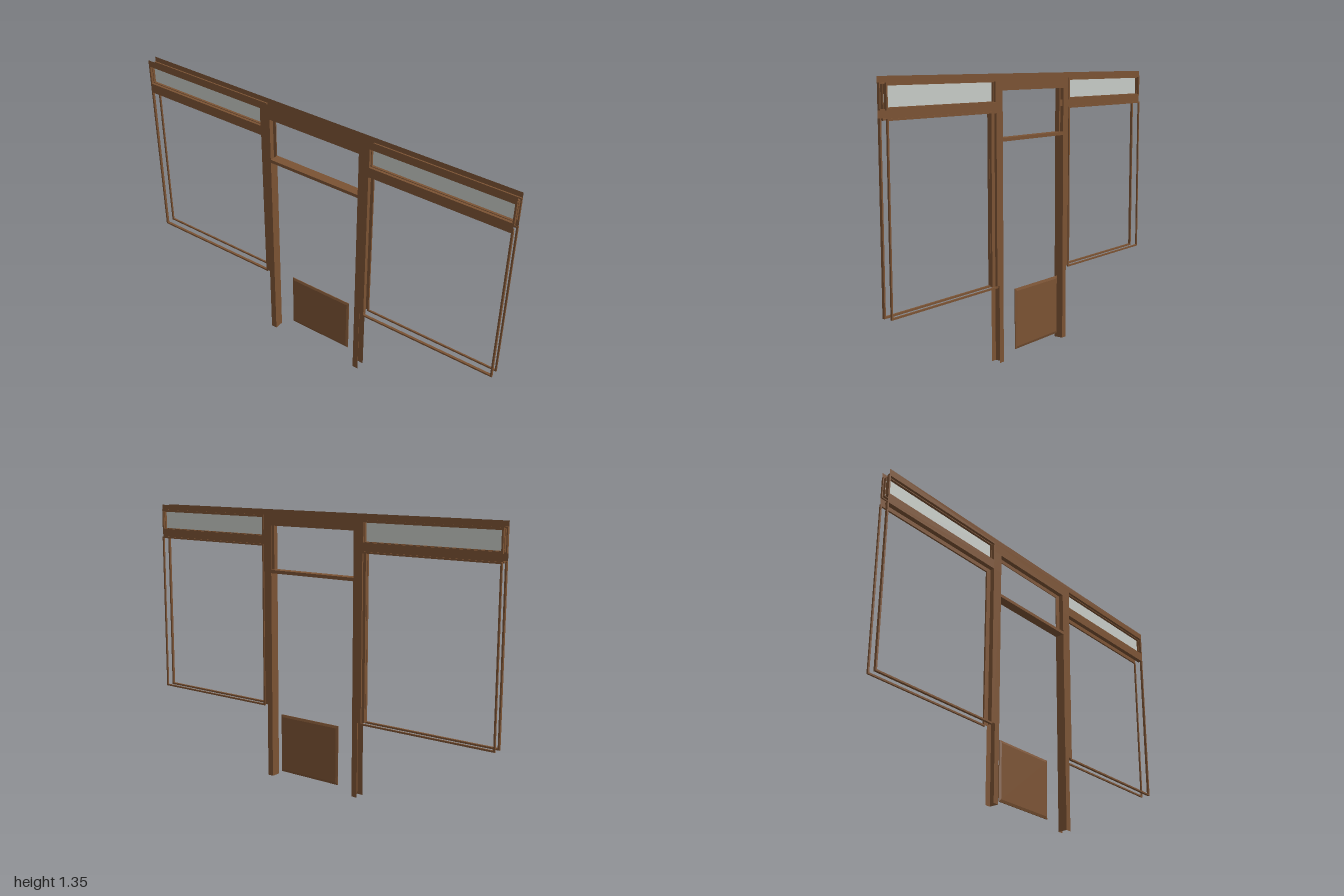
import * as THREE from 'three';

const FRONT = 0.033, BACK = -0.015;

export function createModel() {
  const model = new THREE.Group();
  const wood = new THREE.MeshStandardMaterial({ color: 0x7a5233, side: THREE.DoubleSide });
  wood.name = 'brown wood';
  const glass = new THREE.MeshStandardMaterial({ color: 0xc6cac5, side: THREE.DoubleSide });
  glass.name = 'pale glass';

  const add = (name, geometry, material, parent) => {
    const mesh = new THREE.Mesh(geometry, material);
    mesh.name = name;
    parent.add(mesh);
    return mesh;
  };
  // Thin sheet facing z
  const sheet = (name, x0, x1, y0, y1, z, parent, material = wood) =>
    add(name, new THREE.PlaneGeometry(x1 - x0, y1 - y0).translate((x0 + x1) / 2, (y0 + y1) / 2, z), material, parent);
  const box = (name, x0, x1, y0, y1, z0, z1, parent) =>
    add(name, new THREE.BoxGeometry(x1 - x0, y1 - y0, z1 - z0)
      .translate((x0 + x1) / 2, (y0 + y1) / 2, (z0 + z1) / 2), wood, parent);
  // Side wall of an opening, facing x
  const reveal = (name, x, y0, y1, z0, z1, parent) =>
    add(name, new THREE.PlaneGeometry(z1 - z0, y1 - y0).rotateY(Math.PI / 2)
      .translate(x, (y0 + y1) / 2, (z0 + z1) / 2), wood, parent);
  // Rectangular frame of bar width w
  const frame = (name, x0, x1, y0, y1, z0, z1, w, parent) => {
    const s = new THREE.Shape();
    s.moveTo(x0, y0).lineTo(x1, y0).lineTo(x1, y1).lineTo(x0, y1).closePath();
    const h = new THREE.Path();
    h.moveTo(x0 + w, y0 + w).lineTo(x0 + w, y1 - w).lineTo(x1 - w, y1 - w).lineTo(x1 - w, y0 + w).closePath();
    s.holes.push(h);
    return add(name, new THREE.ExtrudeGeometry(s, { depth: z1 - z0, bevelEnabled: false }).translate(0, 0, z0), wood, parent);
  };

  // Header boards on both faces, open on top
  for (const z of [FRONT, BACK]) {
    const board = new THREE.Shape();
    board.moveTo(-1, 1.32).lineTo(-0.3, 1.32).lineTo(-0.3, 1.272).lineTo(0.3, 1.272)
      .lineTo(0.3, 1.32).lineTo(1, 1.32).lineTo(1, 1.347).lineTo(-1, 1.347).closePath();
    add('headerBoard', new THREE.ShapeGeometry(board).translate(0, 0, z), wood, model);
  }

  for (const side of [1, -1]) {
    const wing = new THREE.Group();
    wing.name = side > 0 ? 'leftWing' : 'rightWing';
    model.add(wing);
    // Mirrored x range helper
    const span = (a, b) => (side > 0 ? [a, b] : [-b, -a]);

    // Hollow door post, wider above the shop-window sill, and rail over the window
    for (const z of [FRONT, BACK]) {
      sheet('postLeg', ...span(0.247, 0.277), 0, 0.372, z, wing);
      sheet('postFace', ...span(0.247, 0.292), 0.372, 1.172, z, wing);
      sheet('postTop', ...span(0.247, 0.3), 1.172, 1.272, z, wing);
      sheet('postHead', ...span(0.292, 0.3), 1.272, 1.32, z, wing);
      sheet('windowRail', ...span(0.3, 1), 1.18, 1.215, z, wing);
    }
    // Door jamb, split by a glazing groove above the transom
    reveal('doorJamb', side * 0.247, 0, 1.04, BACK, FRONT, wing);
    reveal('transomJambFront', side * 0.247, 1.04, 1.272, 0.009, FRONT, wing);
    reveal('transomJambBack', side * 0.247, 1.04, 1.272, BACK, -0.011, wing);

    // Large window trims on both faces
    const x = span(0.292, 1);
    frame('windowTrimFront', ...x, 0.365, 1.18, 0.021, FRONT, 0.008, wing);
    frame('windowTrimBack', ...x, 0.365, 1.18, -0.02, -0.012, 0.008, wing);
    box('windowJambStrip', ...span(0.292, 0.299), 0.368, 1.175, 0.01, 0.021, wing);
    box('windowHeadStrip', ...span(0.3, 0.994), 1.172, 1.18, 0.01, 0.021, wing);

    // Upper light: trims, glazing stops and pane
    frame('upperTrimFront', ...span(0.294, 1), 1.213, 1.322, 0.02, FRONT, 0.008, wing);
    frame('upperTrimBack', ...span(0.294, 1), 1.213, 1.322, -0.017, -0.008, 0.008, wing);
    frame('glazingStopFront', ...span(0.299, 0.995), 1.218, 1.316, 0.008, 0.02, 0.006, wing);
    frame('glazingStopBack', ...span(0.299, 0.995), 1.218, 1.316, -0.008, 0.004, 0.006, wing);
    sheet('upperPane', ...span(0.3, 0.994), 1.22, 1.315, 0.006, wing, glass);
  }

  // Lintel soffit strips and transom bar over the door
  box('lintelStripFront', -0.247, 0.247, 1.272, 1.276, 0.009, FRONT - 0.001, model);
  box('lintelStripBack', -0.247, 0.247, 1.272, 1.276, BACK + 0.001, -0.011, model);
  box('transomBar', -0.247, 0.247, 1.04, 1.056, BACK, FRONT, model);

  // Door kick panel with bevelled edges on both faces
  const kick = new THREE.Shape();
  kick.moveTo(-0.163, 0.057).lineTo(0.163, 0.057).lineTo(0.163, 0.328).lineTo(-0.163, 0.328).closePath();
  add('kickPanel', new THREE.ExtrudeGeometry(kick, {
    depth: 0.003, bevelThickness: 0.004, bevelSize: 0.012, bevelSegments: 1,
  }).translate(0, 0, -0.029), wood, model);

  return model;
}
